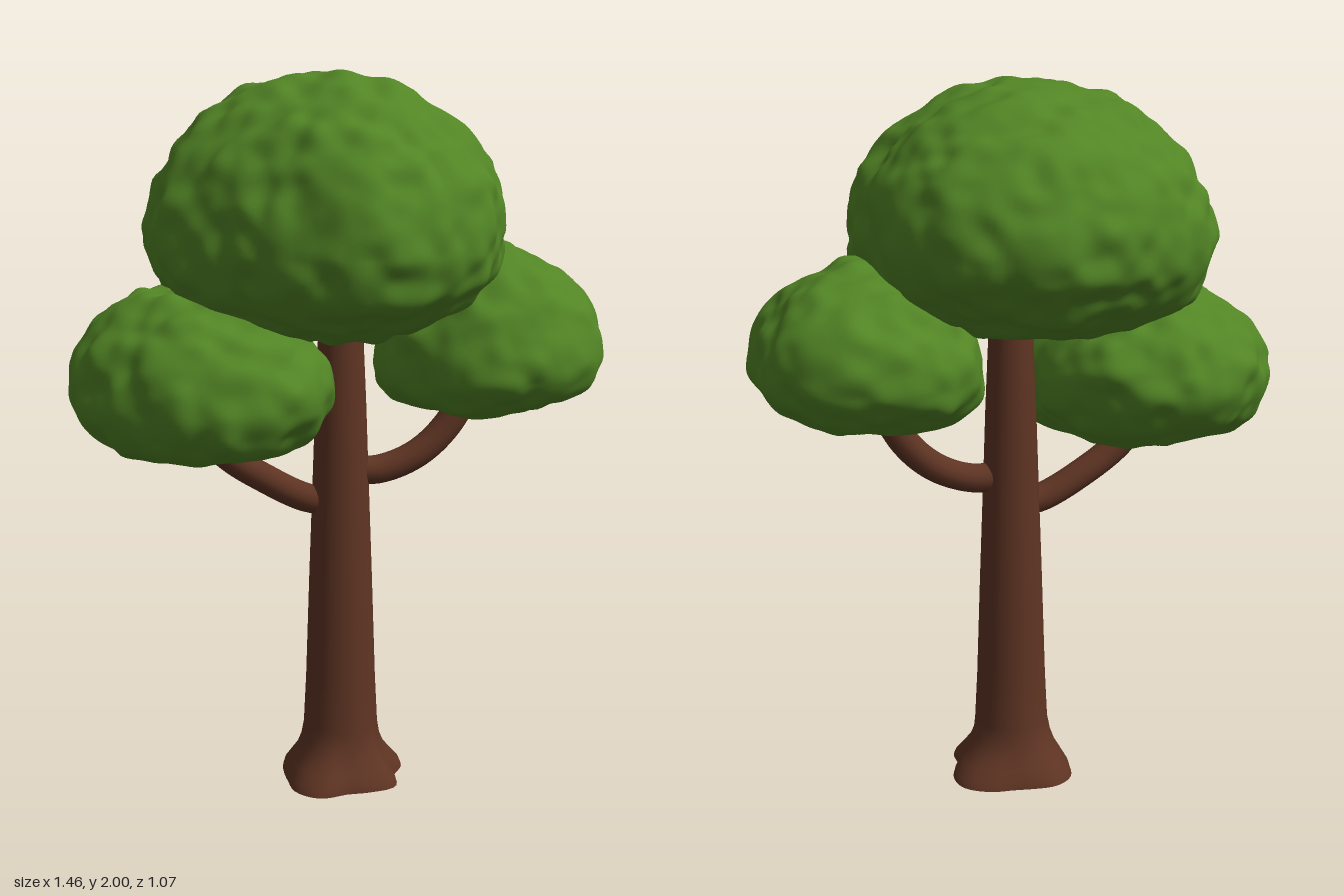
import * as THREE from 'three';
import { mergeVertices } from 'three/addons/utils/BufferGeometryUtils.js';

// Seeded value noise in 3D, range -1..1
function hash(x, y, z) {
  const s = Math.sin(x * 127.1 + y * 311.7 + z * 74.7) * 43758.5453;
  return (s - Math.floor(s)) * 2 - 1;
}
function noise(x, y, z) {
  const ix = Math.floor(x), iy = Math.floor(y), iz = Math.floor(z);
  const ease = t => t * t * (3 - 2 * t);
  const u = ease(x - ix), v = ease(y - iy), w = ease(z - iz);
  let sum = 0;
  for (let i = 0; i < 2; i++) for (let j = 0; j < 2; j++) for (let k = 0; k < 2; k++) {
    sum += hash(ix + i, iy + j, iz + k) * (i ? u : 1 - u) * (j ? v : 1 - v) * (k ? w : 1 - w);
  }
  return sum;
}

// Drops seams so that normals are smooth all round
function weld(geometry) {
  geometry.deleteAttribute('uv');
  geometry.deleteAttribute('normal');
  return mergeVertices(geometry, 1e-4);
}

// Smooth closed interpolation of plan radii, from +x towards +z
function planRadius(radii, angle) {
  const n = radii.length;
  const t = ((angle / (2 * Math.PI) + 1) % 1) * n;
  const i = Math.floor(t), f = t - i;
  const r = k => radii[(i + k + n) % n];
  const [a, b, c, d] = [r(-1), r(0), r(1), r(2)];
  return b + 0.5 * f * (c - a + f * (2 * a - 5 * b + 4 * c - d + f * (3 * (b - c) + d - a)));
}

// Lumpy dome of leaves with a flatter, tilted underside
function foliage({ center, radii, up, down, tiltX, tiltZ, detail }) {
  const geometry = weld(new THREE.IcosahedronGeometry(1, detail));
  const pos = geometry.attributes.position;
  const d = new THREE.Vector3();
  for (let i = 0; i < pos.count; i++) {
    d.fromBufferAttribute(pos, i).normalize();
    const flat = Math.hypot(d.x, d.z);
    const p = d.y > 0 ? 1.95 : 2.3;
    const s = Math.pow(Math.pow(flat, p) + Math.pow(Math.abs(d.y), p), -1 / p);
    const R = planRadius(radii, Math.atan2(d.z, d.x)) * s;
    const h = (d.y > 0 ? up : down) * s;
    const dx = d.x * R, dz = d.z * R;
    const x = dx + center[0], z = dz + center[2];
    const tilt = (tiltX * dx + tiltZ * dz) * (1 - Math.max(0, d.y));
    const y = d.y * h + center[1] + tilt;
    const bump = 0.012 * noise(x * 7, y * 7, z * 7) + 0.014 * noise(x * 17 + 5, y * 17, z * 17);
    pos.setXYZ(i, x + d.x * bump, y + d.y * bump, z + d.z * bump);
  }
  geometry.computeVertexNormals();
  return geometry;
}

// Tapered trunk, open below, whose foot spreads into roots
function rootedTrunk(points, rootRadii) {
  const geometry = weld(new THREE.LatheGeometry(points.map(p => new THREE.Vector2(...p)), 60));
  const pos = geometry.attributes.position;
  const footRadius = points[0][0];
  for (let i = 0; i < pos.count; i++) {
    const x = pos.getX(i), y = pos.getY(i), z = pos.getZ(i);
    const spread = Math.pow(Math.max(0, 1 - y / 0.16), 1.2);
    const root = planRadius(rootRadii, Math.atan2(z, x)) / footRadius;
    const k = 1 + spread * (root - 1);
    pos.setXYZ(i, x * k + 0.013 * (1 - spread), y, z * k + 0.013 * (1 - spread));
  }
  geometry.computeVertexNormals();
  return geometry;
}

export function createModel() {
  const tree = new THREE.Group();
  tree.name = 'tree';
  const leaf = new THREE.MeshStandardMaterial({ name: 'leafGreen', color: 0x528525 });
  const bark = new THREE.MeshStandardMaterial({ name: 'barkBrown', color: 0x5e3423, side: THREE.DoubleSide });
  const add = (name, geometry, material) => {
    const mesh = new THREE.Mesh(geometry, material);
    mesh.name = name;
    tree.add(mesh);
  };

  // Trunk with spreading roots
  add('trunk', rootedTrunk([
    [0.165, 0], [0.161, 0.02], [0.143, 0.05], [0.125, 0.08], [0.113, 0.115], [0.106, 0.16],
    [0.099, 0.3], [0.089, 0.6], [0.078, 0.9], [0.071, 1.1], [0.062, 1.3], [0.058, 1.42],
  ], [0.197, 0.175, 0.208, 0.188, 0.177, 0.205, 0.193, 0.16, 0.15, 0.157, 0.174, 0.173, 0.157, 0.157, 0.185, 0.208]), bark);

  // Branches reach from inside the trunk into the side foliage
  const branches = {
    leftBranch: [[0.03, 0.905, 0.013], [0.12, 0.9, 0.013], [0.23, 0.94, 0.013], [0.32, 1.02, 0.01], [0.4, 1.16, 0.01]],
    rightBranch: [[0, 0.815, 0.013], [-0.08, 0.825, 0.013], [-0.2, 0.885, 0.01], [-0.31, 0.96, 0.01], [-0.4, 1.07, 0]],
  };
  for (const [name, points] of Object.entries(branches)) {
    const curve = new THREE.CatmullRomCurve3(points.map(p => new THREE.Vector3(...p)));
    add(name, new THREE.TubeGeometry(curve, 28, 0.041, 16), bark);
  }

  // Foliage masses
  add('topFoliage', foliage({
    center: [-0.02, 1.58, 0], up: 0.41, down: 0.287, tiltX: 0.05, tiltZ: -0.08, detail: 34,
    radii: [0.45, 0.485, 0.51, 0.52, 0.525, 0.47, 0.445, 0.465, 0.49, 0.505, 0.515, 0.51, 0.53, 0.545, 0.535, 0.485],
  }), leaf);
  add('rightFoliage', foliage({
    center: [-0.385, 1.17, 0], up: 0.26, down: 0.205, tiltX: 0.02, tiltZ: -0.08, detail: 26,
    radii: [0.345, 0.4, 0.37, 0.328, 0.355, 0.35, 0.365, 0.365],
  }), leaf);
  add('leftFoliage', foliage({
    center: [0.42, 1.235, 0], up: 0.295, down: 0.16, tiltX: 0.1, tiltZ: -0.08, detail: 26,
    radii: [0.305, 0.36, 0.355, 0.315, 0.305, 0.335, 0.355, 0.37],
  }), leaf);

  return tree;
}
